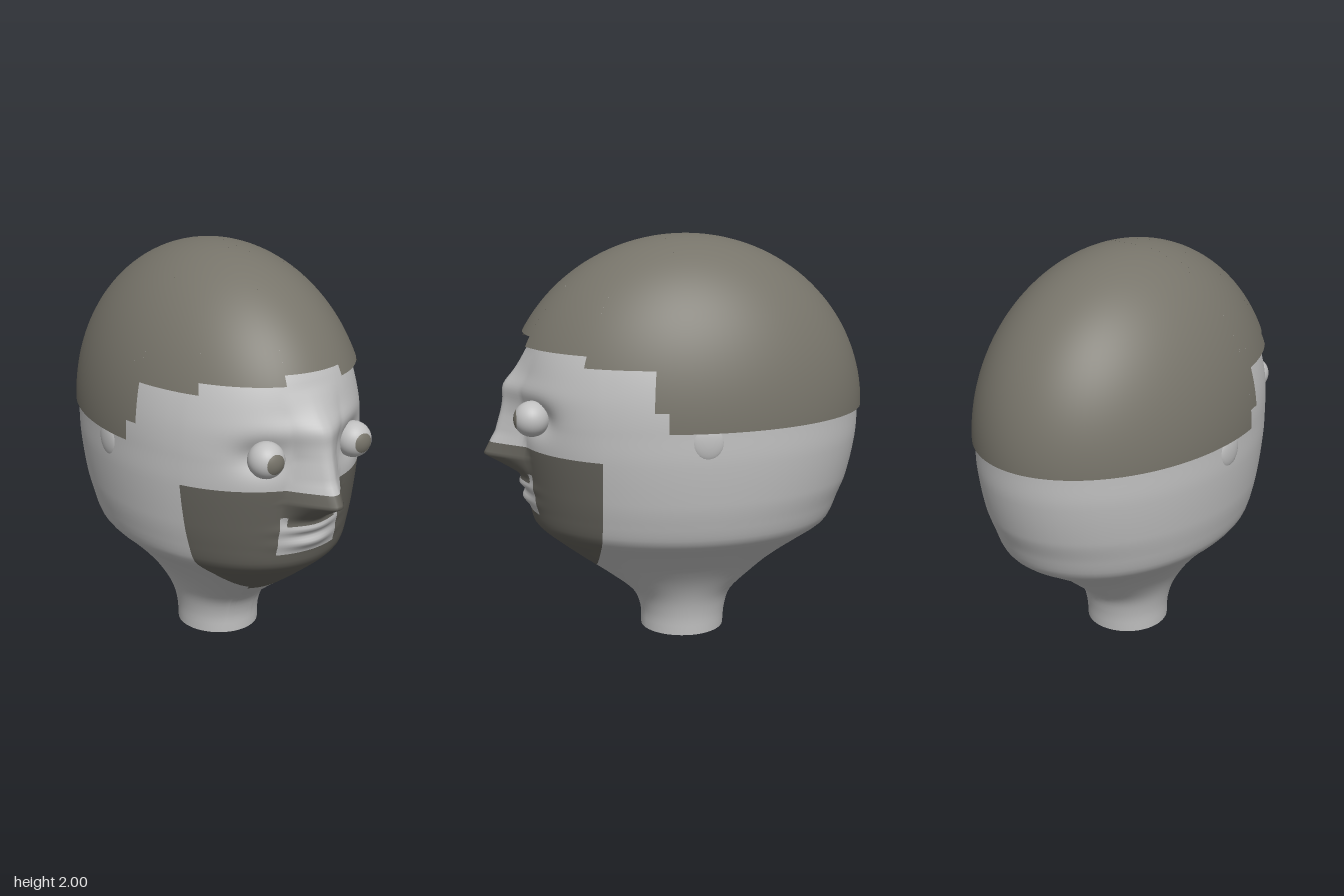
import * as THREE from 'three';

const CZ = -0.055; // centre line of the skull in z
const skin = new THREE.MeshStandardMaterial({ name: 'skin', color: 0xc0c0c0 });
const hair = new THREE.MeshStandardMaterial({ name: 'hair', color: 0x77746a, side: THREE.DoubleSide });
const beard = new THREE.MeshStandardMaterial({ name: 'beard', color: 0x64625b });

// Head sections: height, half width, depth to the back, depth to the front
const SECTIONS = [
  [0, 0.205, 0.205, 0.215], [0.1, 0.21, 0.215, 0.22], [0.2, 0.235, 0.25, 0.265],
  [0.3, 0.285, 0.355, 0.385], [0.4, 0.36, 0.475, 0.525], [0.5, 0.455, 0.625, 0.655],
  [0.56, 0.52, 0.715, 0.725], [0.6, 0.55, 0.75, 0.755], [0.7, 0.58, 0.79, 0.775],
  [0.8, 0.6, 0.83, 0.79], [1.0, 0.62, 0.872, 0.815], [1.15, 0.62, 0.88, 0.825],
];
// Nose ridge: height, projection, half width
const NOSE = [
  [0.8, 0, 0.13], [0.84, 0.03, 0.13], [0.87, 0.075, 0.14], [0.94, 0.185, 0.15], [1.05, 0.115, 0.12],
  [1.15, 0.08, 0.1], [1.29, 0.05, 0.12], [1.4, 0.015, 0.14], [1.46, 0, 0.14],
];

// Smooth (or straight) interpolation of a table by its first column
function lookup(table, y, col, smooth) {
  const last = table.length - 1;
  if (y <= table[0][0]) return table[0][col];
  if (y >= table[last][0]) return table[last][col];
  let i = 0;
  while (y > table[i + 1][0]) i++;
  const a = table[i], b = table[i + 1], h = b[0] - a[0], t = (y - a[0]) / h;
  if (!smooth) return a[col] + (b[col] - a[col]) * t;
  const slope = (j) => {
    const p = table[Math.max(j - 1, 0)], q = table[Math.min(j + 1, last)];
    return (q[col] - p[col]) / (q[0] - p[0]);
  };
  const t2 = t * t, t3 = t2 * t;
  return (2 * t3 - 3 * t2 + 1) * a[col] + (t3 - 2 * t2 + t) * h * slope(i)
    + (3 * t2 - 2 * t3) * b[col] + (t3 - t2) * h * slope(i + 1);
}

const bump = (d, s) => Math.exp(-(d * d) / (s * s));

// Forward relief of the face: nose, sockets, brow and lips
function relief(x, y) {
  const ax = Math.abs(x);
  let d = lookup(NOSE, y, 1) * Math.max(0, 1 - Math.max(0, ax - 0.02) / lookup(NOSE, y, 2));
  d -= 0.05 * bump(ax - 0.26, 0.1) * bump(y - 1.16, 0.08);
  d += 0.022 * bump(y - 1.28, 0.055) * bump(ax, 0.3);
  const mouth = bump(ax, 0.13);
  d += mouth * (0.035 * bump(y - 0.79, 0.025) + 0.03 * bump(y - 0.715, 0.03));
  return d;
}

function steps(stops) { // evenly filled list through [value, count] stops
  const out = [stops[0][0]];
  for (let i = 1; i < stops.length; i++) {
    const [v, n] = stops[i], from = stops[i - 1][0];
    for (let k = 1; k <= n; k++) out.push(from + (v - from) * k / n);
  }
  return out;
}

function headGeometry() {
  const ys = steps([[0], [0.35, 14], [0.66, 14], [0.81, 12], [0.86, 4], [1.0, 12], [1.5, 30], [1.85, 8]]);
  const K1 = 10, K2 = 12, K3 = 28, HALF = 52, N = HALF * 2;
  const pos = [], skinIdx = [], beardIdx = [];
  for (const y of ys) {
    const s = y > 1.15 ? Math.sqrt(1 - ((y - 1.15) / 0.84) ** 2) : 1;
    const rx = lookup(SECTIONS, y, 1, true) * s;
    const rb = lookup(SECTIONS, y, 2, true) * s, rf = lookup(SECTIONS, y, 3, true) * s;
    // columns follow the mouth corners and the back edge of the beard
    const a3 = Math.max(0.35, Math.acos(Math.min(1, (0.4 - CZ) / rf)));
    const a1 = Math.min(Math.asin(0.135 / rx), 0.5 * a3);
    const a2 = Math.min(Math.asin(0.167 / rx), 0.65 * a3);
    const half = steps([[0], [a1, K1], [a2, K2 - K1], [a3, K3 - K2], [Math.PI, HALF - K3]]);
    for (let i = 0; i < N; i++) {
      const t = i <= HALF ? half[i] : -half[N - i];
      const x = rx * Math.sin(t), c = Math.cos(t);
      const z = CZ + c * (c > 0 ? rf : rb) + (c > 0.3 ? relief(x, y) : 0);
      pos.push(x, y, z);
    }
  }
  for (let r = 0; r < ys.length - 1; r++) {
    const y = (ys[r] + ys[r + 1]) / 2;
    for (let i = 0; i < N; i++) {
      const col = i < HALF ? i : N - 1 - i, j = (i + 1) % N;
      const mouth = y > 0.66 && y < 0.86 && col < K2 && !(y > 0.81 && col < K1);
      const bearded = y > 0.35 && y < 1.0 && col < K3 && !mouth;
      const a = r * N + i, b = r * N + j;
      (bearded ? beardIdx : skinIdx).push(a, b, b + N, a, b + N, a + N);
    }
  }
  const g = new THREE.BufferGeometry();
  g.setAttribute('position', new THREE.Float32BufferAttribute(pos, 3));
  g.setIndex([...skinIdx, ...beardIdx]);
  g.addGroup(0, skinIdx.length, 0);
  g.addGroup(skinIdx.length, beardIdx.length, 1);
  g.computeVertexNormals();
  return g;
}

export function createModel() {
  const model = new THREE.Group();
  const add = (name, geometry, material, parent = model) => {
    const m = new THREE.Mesh(geometry, material);
    m.name = name;
    parent.add(m);
    return m;
  };

  add('head', headGeometry(), [skin, beard]);
  const base = add('neckBase', new THREE.CircleGeometry(1, 48), skin);
  base.rotation.x = Math.PI / 2;
  base.scale.set(0.205, 0.21, 1);
  base.position.set(0, 0.001, CZ + 0.005);

  // Hair cap: sectors of one ellipsoid, each with its own hem height
  const cap = new THREE.Group();
  cap.name = 'hair';
  model.add(cap);
  const sector = (from, to, hem) => {
    const g = new THREE.SphereGeometry(1, Math.max(2, Math.ceil((to - from) * 16)), 32,
      Math.PI / 2 + from, to - from, 0, Math.acos((hem - 1.15) / 0.85));
    g.scale(0.632, 0.85, 0.892);
    g.translate(0, 1.15, CZ - 0.003);
    add('hairSector', g, hair, cap);
  };
  sector(-0.27, 0.27, 1.54);
  for (const [from, to, hem] of [[0.27, 0.88, 1.493], [0.88, 1.31, 1.44], [1.31, 1.386, 1.25], [1.386, Math.PI, 1.153]]) {
    sector(from, to, hem);
    sector(-to, -from, hem);
  }

  for (const side of [-1, 1]) {
    const name = side > 0 ? 'left' : 'right';
    // Eyeball with a flush pupil
    const eye = new THREE.Group();
    eye.name = name + 'Eye';
    eye.position.set(side * 0.25, 1.163, 0.71);
    model.add(eye);
    add('eyeball', new THREE.SphereGeometry(0.086, 32, 24), skin, eye);
    const pupil = add('pupil', new THREE.SphereGeometry(0.0875, 28, 6, 0, Math.PI * 2, 0, 0.57), hair, eye);
    pupil.rotation.x = Math.PI / 2;
    // Small ear bump below the hem
    const ear = add(name + 'Ear', new THREE.SphereGeometry(1, 24, 16), skin);
    ear.scale.set(0.022, 0.085, 0.075);
    ear.position.set(side * 0.61, 1.105, -0.075);
  }
  return model;
}
